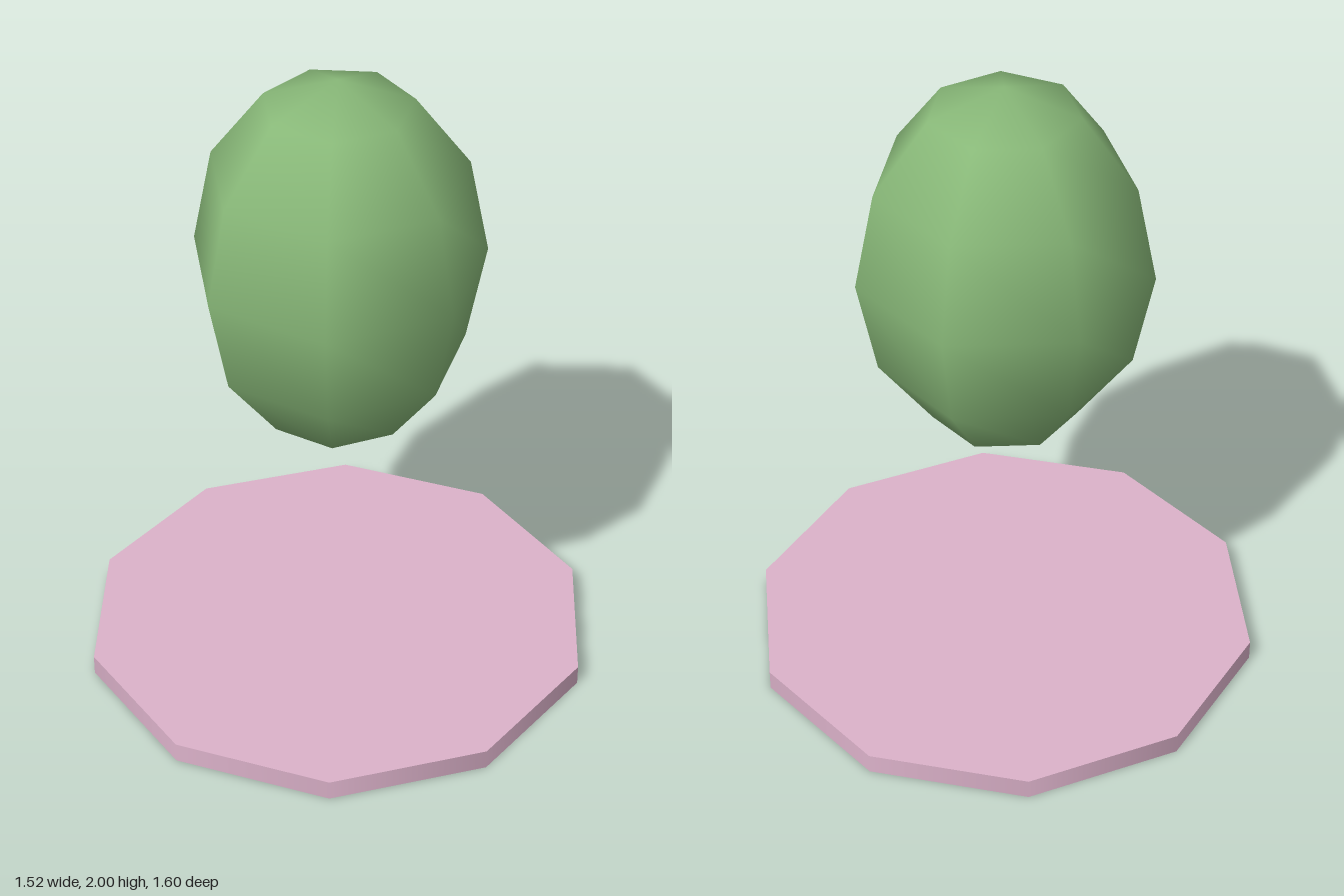
import * as THREE from 'three';

function part(name, geometry, color, y) {
  const mesh = new THREE.Mesh(geometry, new THREE.MeshStandardMaterial({ color }));
  mesh.name = name;
  mesh.position.y = y;
  return mesh;
}

export function createModel() {
  const group = new THREE.Group();
  group.name = 'floatingEggOverDisc';

  // Ten-sided base disc
  const thickness = 0.064;
  group.add(part('baseDisc', new THREE.CylinderGeometry(0.8, 0.8, thickness, 10), 0xdcb2ca, thickness / 2));

  // Low-poly, smooth-shaded ellipsoid hovering above the disc
  const egg = new THREE.SphereGeometry(0.45, 7, 6);
  egg.scale(1, 0.602 / 0.45, 1);
  group.add(part('floatingEgg', egg, 0x88b878, 1.398));

  return group;
}
